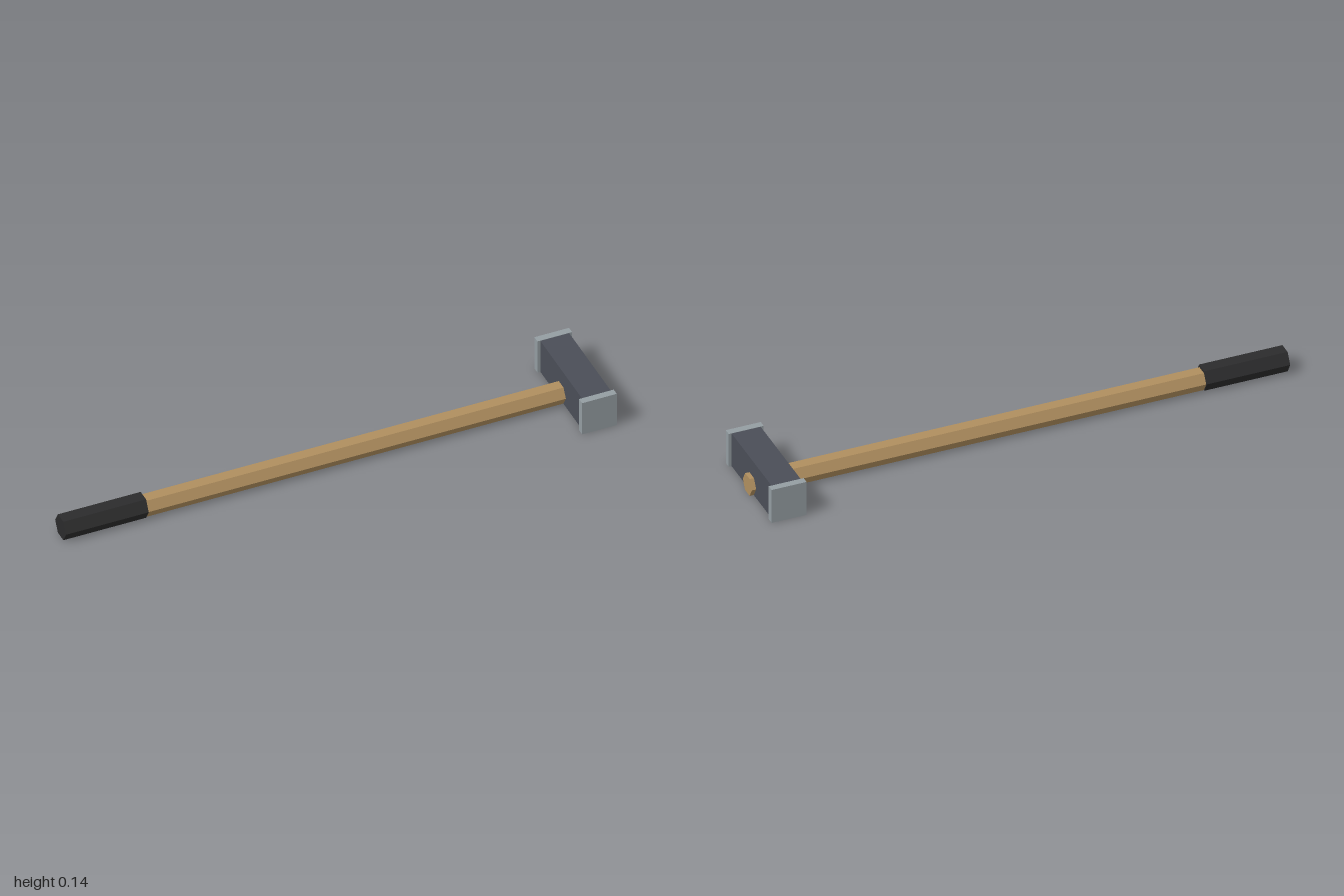
import * as THREE from 'three';

const mat = (name, color) => {
  const m = new THREE.MeshStandardMaterial({ color });
  m.name = name;
  return m;
};

export function createModel() {
  const model = new THREE.Group();
  model.name = 'sledgehammer';
  const wood = mat('wood', 0xb08f5f);
  const rubber = mat('black rubber', 0x2b2b2c);
  const iron = mat('dark iron', 0x4a4e57);
  const steel = mat('pale steel', 0x949da2);

  // Flat-sided hexagonal bar lying along x, corners pointing to +z and -z
  const hexBar = (name, material, radius, x0, x1, y) => {
    const geo = new THREE.CylinderGeometry(radius, radius, x1 - x0, 6).toNonIndexed();
    geo.rotateZ(-Math.PI / 2);
    geo.computeVertexNormals();
    const mesh = new THREE.Mesh(geo, material);
    mesh.name = name;
    mesh.position.set((x0 + x1) / 2, y, 0);
    model.add(mesh);
  };

  const box = (name, material, w, h, d, x, y, z) => {
    const mesh = new THREE.Mesh(new THREE.BoxGeometry(w, h, d), material);
    mesh.name = name;
    mesh.position.set(x, y, z);
    model.add(mesh);
  };

  // Handle runs right through the head; the grip sleeve covers its far end
  hexBar('handle', wood, 0.04, -0.99, 1, 0.036);
  hexBar('grip', rubber, 0.046, -1, -0.69, 0.04);

  // Head block with a wider striking plate at each end
  box('headBlock', iron, 0.108, 0.134, 0.36, 0.93, 0.067, 0);
  for (const [side, s] of [['front', 1], ['back', -1]]) {
    box(side + 'StrikingPlate', steel, 0.13, 0.135, 0.026, 0.93, 0.0675, s * 0.189);
  }
  return model;
}
